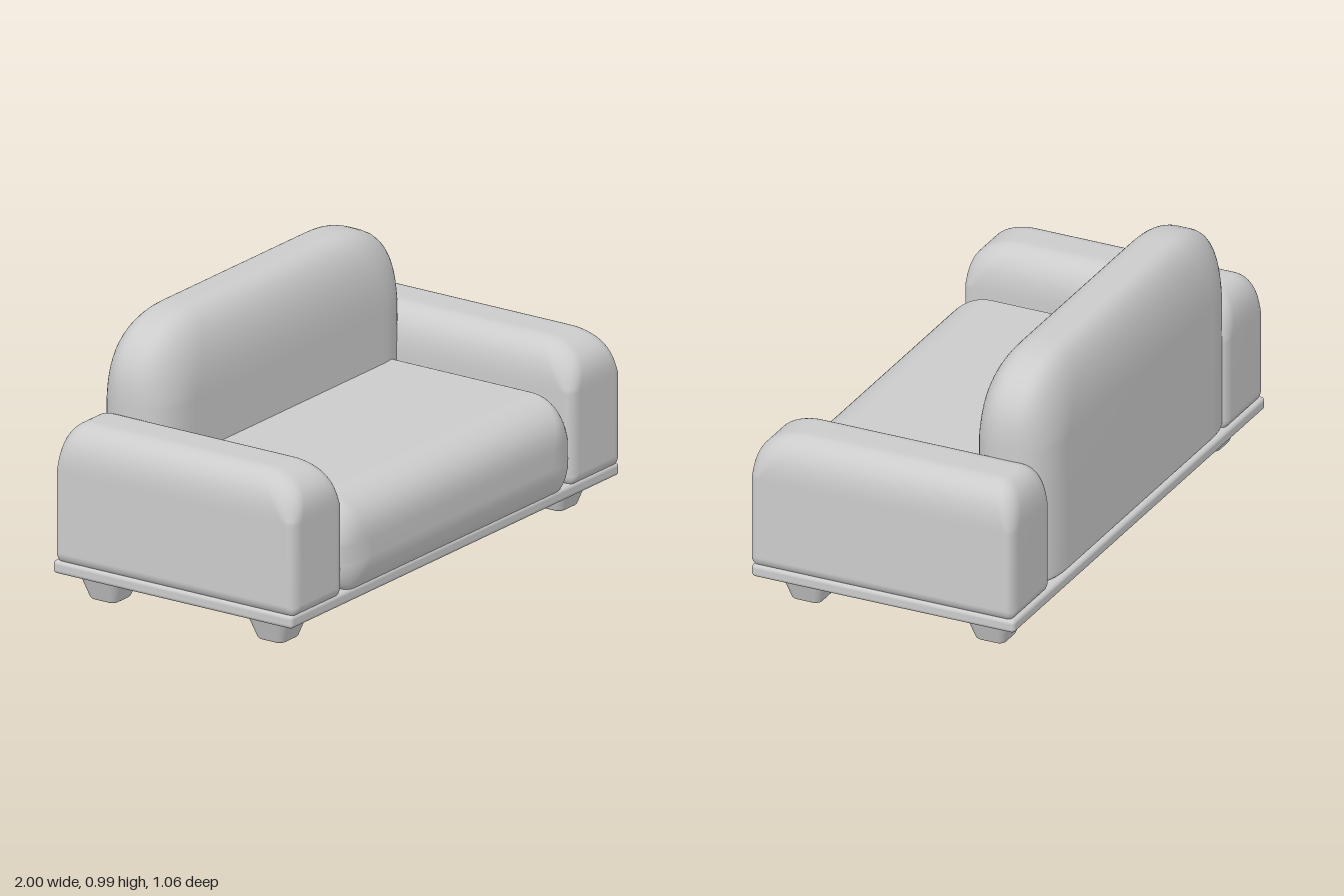
import * as THREE from 'three';
import { mergeVertices } from 'three/addons/utils/BufferGeometryUtils.js';

const material = new THREE.MeshStandardMaterial({ color: 0xcccccc });
const N = 8; // segments across each rounded edge

// Cushion-like box: min and max corners, with rounding given per region.
// rx, front, back: rounding widths at [bottom, middle, top]; ry: [bottom, top]; p: corner fullness.
function softBox([x0, y0, z0], [x1, y1, z1], { rx, front, back = front, ry, p = 2 }) {
  const geo = new THREE.BoxGeometry(2, 2, 2, 2 * N + 1, 2 * N + 1, 2 * N + 1);
  geo.deleteAttribute('normal');
  geo.deleteAttribute('uv');
  const pos = geo.attributes.position;
  // Grid lines gather in the rounded edges; one wide cell spans the flat middle
  const split = (c) => {
    const i = Math.round((c + 1) / 2 * (2 * N + 1));
    const plus = i > N;
    return { plus, d: Math.tan((plus ? i - N - 1 : i - N) / N * Math.PI / 4) };
  };
  for (let i = 0; i < pos.count; i++) {
    const a = [pos.getX(i), pos.getY(i), pos.getZ(i)].map(split);
    const len = Math.pow(a.reduce((s, e) => s + Math.pow(Math.abs(e.d), p), 0), 1 / p);
    const [nx, ny, nz] = a.map((e) => Math.abs(e.d) / len);
    const [X, Y, Z] = a;
    const radius = (r) => THREE.MathUtils.lerp(r[1], Y.plus ? r[2] : r[0], ny);
    const dx = radius(rx) * (1 - nx);
    const dy = ry[Y.plus ? 1 : 0] * (1 - ny);
    const dz = radius(Z.plus ? front : back) * (1 - nz);
    pos.setXYZ(i,
      X.plus ? x1 - dx : x0 + dx,
      Y.plus ? y1 - dy : y0 + dy,
      Z.plus ? z1 - dz : z0 + dz);
  }
  const merged = mergeVertices(geo, 1e-5);
  merged.computeVertexNormals();
  return merged;
}

// Square foot with rounded corners, narrowing towards the floor
function legGeometry() {
  const h = 0.125, w = 0.097;
  const geo = softBox([-w, 0, -w], [w, h, w],
    { rx: [0.05, 0.04, 0.04], front: [0.05, 0.04, 0.04], ry: [0.012, 0.005] });
  const pos = geo.attributes.position;
  for (let i = 0; i < pos.count; i++) {
    const s = 0.56 + 0.44 * pos.getY(i) / h;
    pos.setX(i, pos.getX(i) * s);
    pos.setZ(i, pos.getZ(i) * s);
  }
  geo.computeVertexNormals();
  return geo;
}

export function createModel() {
  const group = new THREE.Group();
  const add = (name, geometry, x = 0, z = 0) => {
    const mesh = new THREE.Mesh(geometry, material);
    mesh.name = name;
    mesh.position.set(x, 0, z);
    group.add(mesh);
  };

  // Thin platform under the cushions
  const edge = [0.015, 0.015, 0.015];
  add('base', softBox([-0.995, 0.108, -0.53], [0.995, 0.157, 0.5],
    { rx: edge, front: edge, ry: [0.015, 0.015] }));

  // Seat cushion with a full, rounded front
  add('seat', softBox([-0.715, 0.145, -0.35], [0.715, 0.495, 0.53],
    { rx: [0.1, 0.17, 0.09], front: [0.05, 0.08, 0.16], back: [0.03, 0.03, 0.03], ry: [0.12, 0.17] }));

  // Tall backrest with rounded ends
  add('backrest', softBox([-0.765, 0.15, -0.533], [0.765, 0.99, -0.22],
    { rx: [0.2, 0.2, 0.35], front: [0.15, 0.155, 0.145], back: [0.13, 0.155, 0.125], ry: [0.04, 0.3], p: 2.4 }));

  // Armrests
  const arm = softBox([-0.155, 0.15, -0.525], [0.155, 0.662, 0.51],
    { rx: [0.03, 0.05, 0.11], front: [0.03, 0.035, 0.18], back: [0.03, 0.03, 0.09], ry: [0.04, 0.17], p: 2.1 });
  add('leftArm', arm, 0.843);
  add('rightArm', arm, -0.843);

  // Four feet
  const leg = legGeometry();
  for (const [side, x] of [['Left', 0.845], ['Right', -0.845]]) {
    add('front' + side + 'Leg', leg, x, 0.335);
    add('back' + side + 'Leg', leg, x, -0.385);
  }
  return group;
}
